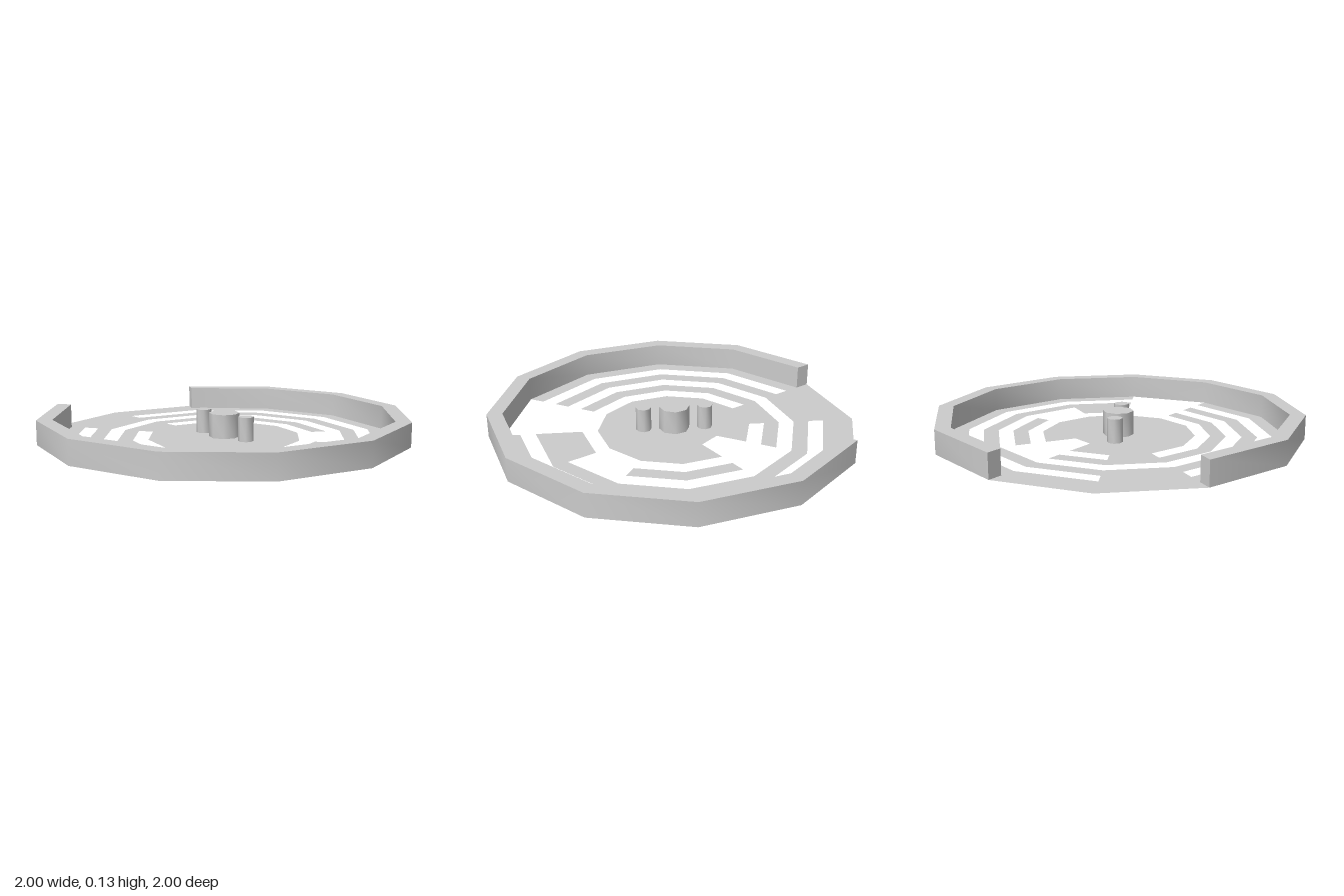
import * as THREE from 'three';
import { toCreasedNormals } from 'three/addons/utils/BufferGeometryUtils.js';

const STEP = Math.PI / 6; // twelve-sided plan, one step per side
const U = 1 / 12;         // ring width
const HEIGHT = 0.13;

const material = new THREE.MeshStandardMaterial({ color: 0xcccccc, side: THREE.DoubleSide });

// Sweeps a profile from side k0 to side k1, counted from +x towards +z.
function sweep(name, profile, k0, k1, segments = k1 - k0) {
  const points = profile.map(([r, y]) => new THREE.Vector2(r, y));
  const geometry = new THREE.LatheGeometry(
    points, segments, Math.PI / 2 - k1 * STEP, (k1 - k0) * STEP);
  const mesh = new THREE.Mesh(toCreasedNormals(geometry, 0.9), material);
  mesh.name = name;
  return mesh;
}

export function createModel() {
  const model = new THREE.Group();
  model.name = 'roundMaze';

  // Flat floor: ring sectors [inner ring, outer ring, first side, last side]
  const floor = new THREE.Group();
  floor.name = 'floor';
  const sectors = [
    [0, 3, 0, 12],
    [3, 5, 8, 19],  // central disc with a notch
    [5, 6, 5, 6],   // bridge
    [6, 7, 1, 7],
    [6, 7, 8, 10],
    [6, 8, 11, 12], // wide block
    [8, 9, 1, 12],
    [9, 10, 5, 6],  // bridge
    [10, 11, 1, 12],
    [11, 12, 5, 7], // entrance
  ];
  for (const [r0, r1, k0, k1] of sectors) {
    floor.add(sweep('floorSector', [[r1 * U, 0], [r0 * U, 0]], k0, k1));
  }
  model.add(floor);

  // Outer wall, hollow underneath, open at the entrance
  const inner = 11 * U;
  model.add(sweep('outerWall', [[1, 0], [1, HEIGHT], [inner, HEIGHT], [inner, 0]], 7, 17));

  // Wall ends on both sides of the entrance
  for (const [k, flip] of [[5, 0], [7, Math.PI]]) {
    const end = new THREE.Mesh(new THREE.PlaneGeometry(U, HEIGHT), material);
    const r = (1 + inner) / 2;
    end.position.set(r * Math.cos(k * STEP), HEIGHT / 2, r * Math.sin(k * STEP));
    end.rotation.y = -k * STEP + flip;
    end.name = 'wallEnd';
    model.add(end);
  }

  // Central post and two side posts
  for (const [name, x, r] of [
    ['centrePost', 0, U], ['leftPost', 2 * U, U / 2], ['rightPost', -2 * U, U / 2]]) {
    const post = sweep(name, [[r, 0], [r, HEIGHT], [0, HEIGHT]], 0, 12, 8);
    post.position.x = x;
    model.add(post);
  }
  return model;
}
